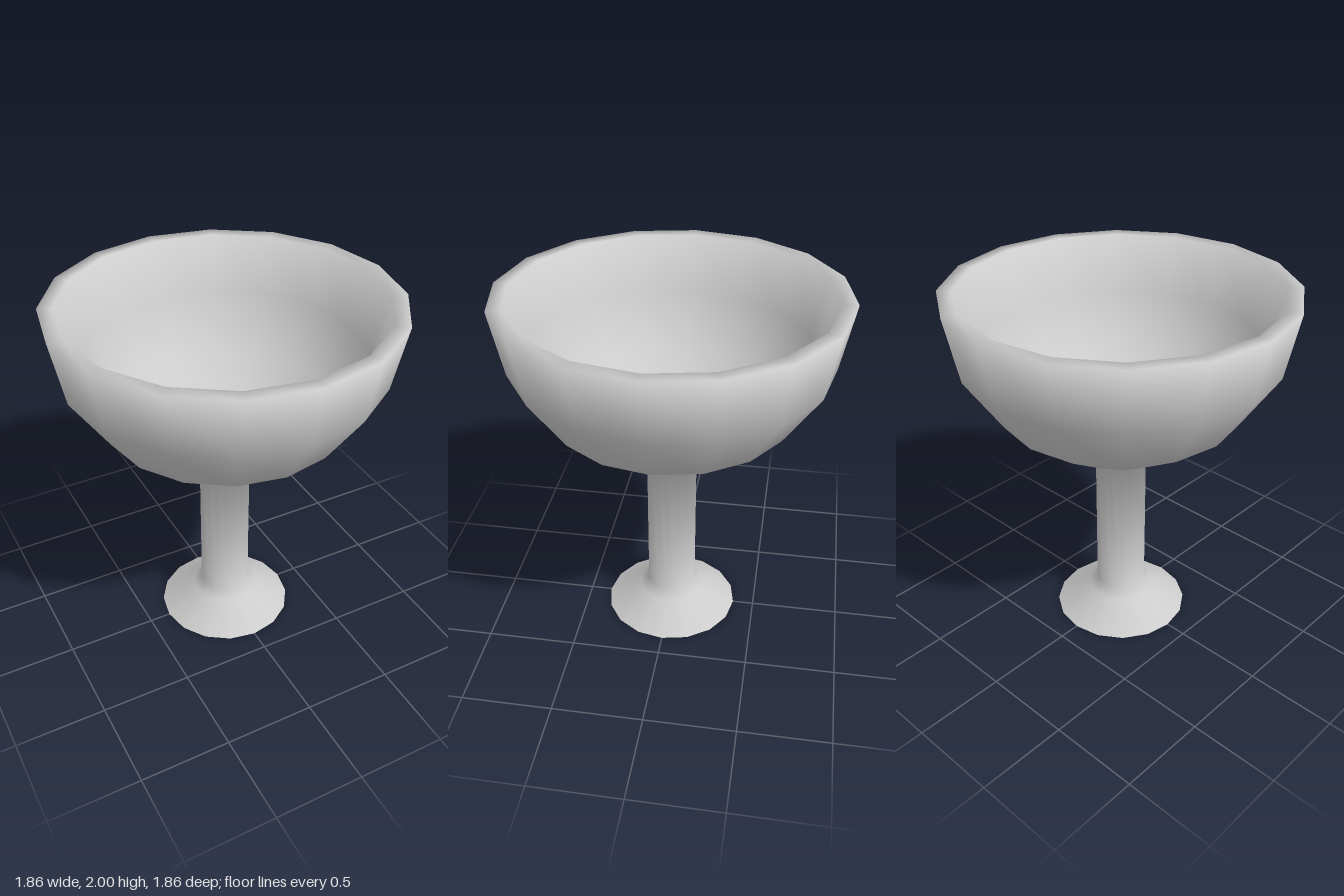
import * as THREE from 'three';

const SIDES = 16;
const RIM_Y = 2;
const OUTER_R = 0.929;
const INNER_R = 0.825;

// Profile point on a hemisphere hanging from the rim; step 0 is the rim, 4 the pole
function bowlPoint(radius, step) {
  const a = (step * Math.PI) / 8;
  return new THREE.Vector2(step === 4 ? 0 : radius * Math.cos(a), RIM_Y - radius * Math.sin(a));
}

// Lathe whose smooth normals weigh the two neighbouring bands equally
function smoothLathe(profile) {
  const geometry = new THREE.LatheGeometry(profile, SIDES);
  const bands = profile.slice(1).map((p, i) => {
    const d = p.clone().sub(profile[i]).normalize();
    return new THREE.Vector2(d.y, -d.x);
  });
  const normals = profile.map((p, i) => {
    if (p.x === 0) return new THREE.Vector2(0, 1);
    const n = bands[Math.min(i, bands.length - 1)].clone();
    return i > 0 ? n.add(bands[i - 1]).normalize() : n;
  });
  const attribute = geometry.attributes.normal;
  for (let s = 0; s <= SIDES; s++) {
    const a = (s / SIDES) * Math.PI * 2;
    normals.forEach((n, i) => {
      attribute.setXYZ(s * profile.length + i, n.x * Math.sin(a), n.y, n.x * Math.cos(a));
    });
  }
  return geometry;
}

export function createModel() {
  const group = new THREE.Group();
  group.name = 'goblet';
  const material = new THREE.MeshStandardMaterial({ color: 0xcccccc });

  // flared foot and straight stem
  const profile = [
    [0.38, 0], [0.19, 0.128], [0.14, 0.18], [0.14, 1.102],
  ].map(([r, y]) => new THREE.Vector2(r, y));

  // outside of the bowl, flat lip, then the inside, whose wall thickens below the lip
  for (let s = 3; s >= 0; s--) profile.push(bowlPoint(OUTER_R, s));
  profile.push(new THREE.Vector2(0.852, RIM_Y));
  for (let s = 1; s <= 4; s++) profile.push(bowlPoint(INNER_R, s));

  // foot, stem and bowl are one smooth continuous shell
  const body = new THREE.Mesh(smoothLathe(profile), material);
  body.name = 'footStemAndBowl';
  group.add(body);

  // flat underside with a sharp edge to the foot
  const underside = new THREE.Mesh(new THREE.CircleGeometry(0.38, SIDES), material);
  underside.name = 'footUnderside';
  underside.rotation.x = Math.PI / 2;
  group.add(underside);
  return group;
}
